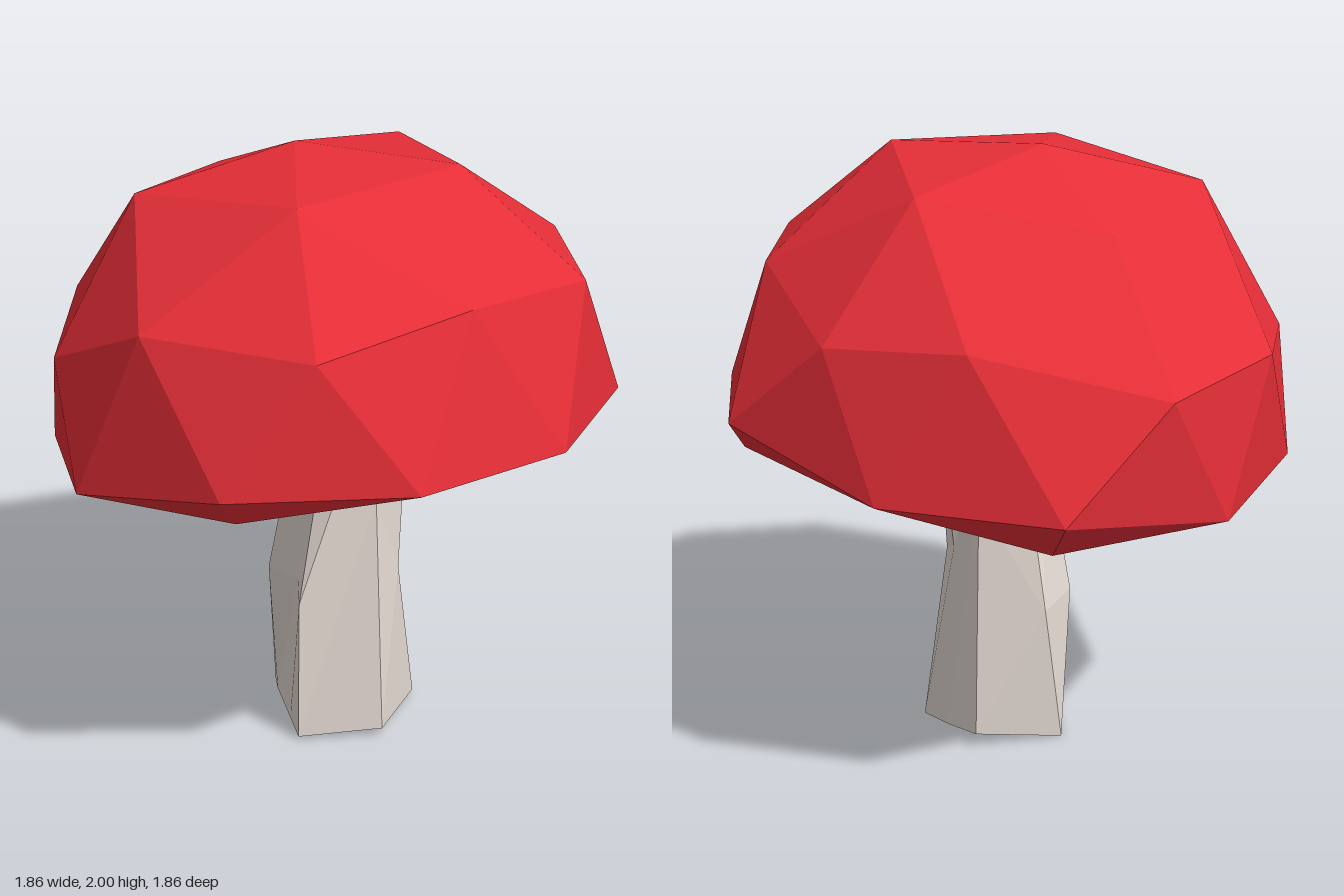
import * as THREE from 'three';

const cycle = (ring, i) => ring[(i + ring.length) % ring.length];

// Faceted mesh from a list of corner points, three per triangle
function facetMesh(name, tris, color) {
  const g = new THREE.BufferGeometry();
  g.setAttribute('position', new THREE.Float32BufferAttribute(tris.flat(), 3));
  g.computeVertexNormals();
  const mesh = new THREE.Mesh(g, new THREE.MeshStandardMaterial({ color, flatShading: true }));
  mesh.name = name;
  return mesh;
}

// Triangles joining two rings of equal length, leaving out those that collapse
function loft(lower, upper) {
  const tris = [];
  lower.forEach((p, i) => {
    const q = cycle(lower, i + 1), r = cycle(upper, i + 1), s = upper[i];
    if (q !== r) tris.push(p, q, r);
    if (p !== s) tris.push(p, r, s);
  });
  return tris;
}

// Triangles from a centre point to each side of a ring
function fan(center, ring, forward) {
  return ring.flatMap((p, i) => {
    const q = cycle(ring, i + 1);
    return forward ? [center, p, q] : [center, q, p];
  });
}

// Cap rings run clockwise from above, starting at the back
const pole = [-0.04, 2, -0.12];
const crown = [[0.13, 1.81, -0.58], [0.5, 1.91, -0.11], [0.15, 1.97, 0.38],
  [-0.43, 1.94, 0.2], [-0.45, 1.87, -0.43]];
const shoulder = [[0.23, 1.39, -0.92], [0.67, 1.54, -0.51], [0.85, 1.51, -0.08],
  [0.65, 1.65, 0.42], [0.26, 1.65, 0.78], [-0.28, 1.7, 0.73], [-0.72, 1.61, 0.5],
  [-0.86, 1.61, -0.05], [-0.71, 1.37, -0.56], [-0.28, 1.42, -0.87]];
const rim = [[0.57, 1.06, -0.81], [0.86, 1.07, -0.31], [0.93, 1.21, 0.28],
  [0.55, 1.19, 0.75], [-0.05, 1.22, 0.925], [-0.57, 1.22, 0.765], [-0.93, 1.2, 0.31],
  [-0.91, 1.05, -0.29], [-0.55, 1, -0.74], [-0.02, 0.96, -0.93]];

// Faceted dome: pole, crown, shoulder, rim
function createDome() {
  const tris = fan(pole, crown, false);
  crown.forEach((t, i) => {
    const v = shoulder[2 * i], next = shoulder[2 * i + 1], prev = cycle(shoulder, 2 * i - 1);
    tris.push(t, cycle(crown, i + 1), next, t, next, v, t, v, prev);
  });
  shoulder.forEach((s, k) => {
    tris.push(s, cycle(shoulder, k + 1), rim[k], s, rim[k], cycle(rim, k - 1));
  });
  return facetMesh('capDome', tris, 0xe62e37);
}

// Hollow underside: drooping lip, sloping wall and shallow ceiling
function createUnderside() {
  const lip = rim.slice();
  lip[0] = [0.54, 0.95, -0.73];
  lip[2] = [0.87, 1.12, 0.28];
  lip[6] = [-0.86, 1.11, 0.31];
  const inner = rim.map(([x, y, z]) => [x * 0.7, y * 0.5 + 0.64, z * 0.7]);
  const tris = [...loft(rim, lip), ...loft(lip, inner), ...fan([0, 1.26, 0.03], inner, true)];
  return facetMesh('capUnderside', tris, 0xe62e37);
}

// Crooked stem: uneven rings, counter-clockwise from above, starting at the front
function createStem() {
  const base = [[-0.09, 0.03, 0.28], [0.21, 0.01, 0.19], [0.24, 0.03, 0.04],
    [0.255, 0.05, -0.11], [-0.01, 0, -0.25], [-0.06, 0, -0.2], [-0.2, 0.01, -0.03], [-0.28, 0.01, 0.07]];
  const middle = [[-0.08, 0.87, 0.24], [0.06, 0.57, 0.23], [0.16, 0.64, 0.09],
    [0.16, 0.83, -0.03], [0.07, 0.48, -0.25], [-0.1, 0.5, -0.2], [-0.19, 0.55, 0], [-0.285, 0.52, 0.08]];
  const neck = [[-0.12, 1.18, 0.22], [0.11, 1.18, 0.225], [0.14, 1.13, 0.19],
    [0.13, 1.13, -0.05], [0.04, 1.1, -0.1], [-0.06, 1.1, -0.09], [-0.13, 1.1, -0.01], [-0.165, 1.1, 0.1]];
  const top = neck.map(([x, , z]) => [x * 0.95, 1.29, z * 0.95]);
  return facetMesh('stem', [
    ...fan([-0.01, 0.02, 0.03], base, false),
    ...loft(base, middle), ...loft(middle, neck), ...loft(neck, top),
    ...fan([0, 1.3, 0.06], top, true),
  ], 0xe6dbd4);
}

export function createModel() {
  const model = new THREE.Group();
  model.name = 'mushroom';
  const cap = new THREE.Group();
  cap.name = 'cap';
  cap.add(createDome(), createUnderside());
  model.add(cap, createStem());
  return model;
}
